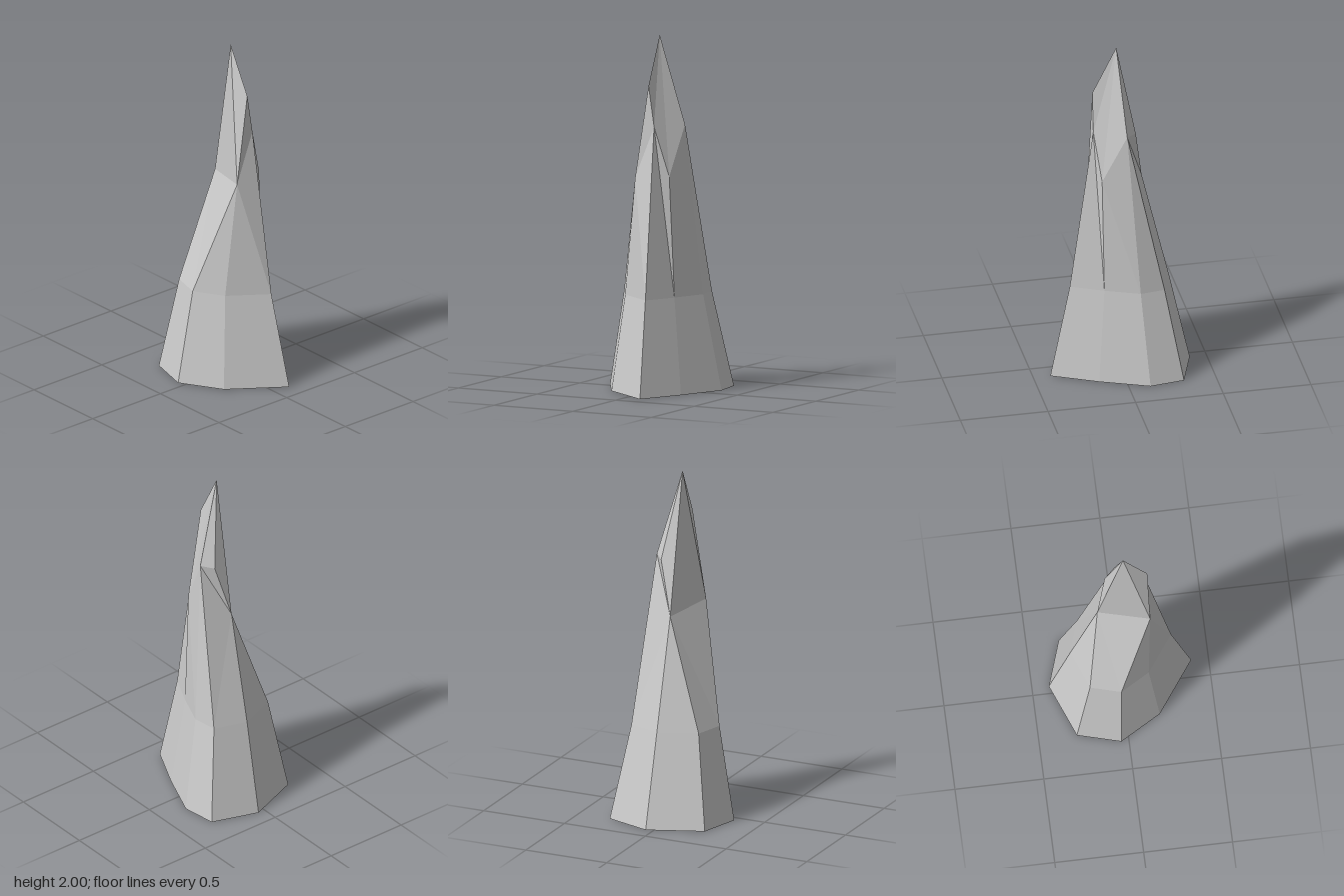
import * as THREE from 'three';

// Foot outline, counterclockwise from above: [x, z]
const foot = [
  [-0.405, -0.043], [-0.285, 0.265], [-0.043, 0.332], [0.19, 0.195],
  [0.403, -0.102], [0.15, -0.225], [-0.12, -0.335], [-0.317, -0.307],
];
const waistHeight = 0.54;
const waistScale = 0.708;

// Corners above the waist
const upper = {
  leftShoulder: [-0.135, -0.02, 1.18],
  frontShoulder: [0.152, 0.065, 1.21],
  sideNotch: [0.147, -0.052, 1.5],
  backNotch: [0.113, -0.13, 1.22],
  backPeak: [-0.025, -0.155, 1.5],
  backDent: [-0.085, -0.1, 1.49],
  sidePeak: [0.145, -0.016, 1.73],
  tip: [0.008, -0.012, 2],
};

export function createModel() {
  const positions = [];
  const tri = (...corners) => corners.forEach((c) => positions.push(...c));

  const base = foot.map(([x, z]) => [x, 0, z]);
  const w = foot.map(([x, z]) => [x * waistScale, waistHeight, z * waistScale]);
  const [A, B, C, D, E, F, G, P] = Object.values(upper).map(([x, z, y]) => [x, y, z]);

  // Flared skirt between foot and waist
  base.forEach((p, i) => {
    const j = (i + 1) % base.length;
    tri(p, base[j], w[j]);
    tri(p, w[j], w[i]);
  });

  // Facets from the waist to the shoulders
  tri(w[0], w[1], A);
  tri(w[1], w[2], A);
  tri(w[2], B, A);
  tri(w[2], w[3], B);
  tri(w[3], w[4], B);
  tri(w[4], C, B);
  tri(w[4], w[5], C);
  tri(w[5], D, C);
  tri(w[5], w[6], D);
  tri(w[6], E, D);
  tri(w[6], w[7], E);
  tri(w[7], A, E);
  tri(w[7], w[0], A);

  // Small chipped facets
  tri(E, A, F);
  tri(B, C, G);

  // Fan around the tip
  const rim = [A, B, G, C, D, E, F];
  rim.forEach((p, i) => tri(p, rim[(i + 1) % rim.length], P));

  const geometry = new THREE.BufferGeometry();
  geometry.setAttribute('position', new THREE.Float32BufferAttribute(positions, 3));
  geometry.computeVertexNormals();

  // Open underneath, so both sides show
  const spike = new THREE.Mesh(geometry, new THREE.MeshStandardMaterial({
    color: 0xcccccc, flatShading: true, side: THREE.DoubleSide,
  }));
  spike.name = 'rockSpike';

  const model = new THREE.Group();
  model.name = 'stalagmite';
  model.add(spike);
  return model;
}
